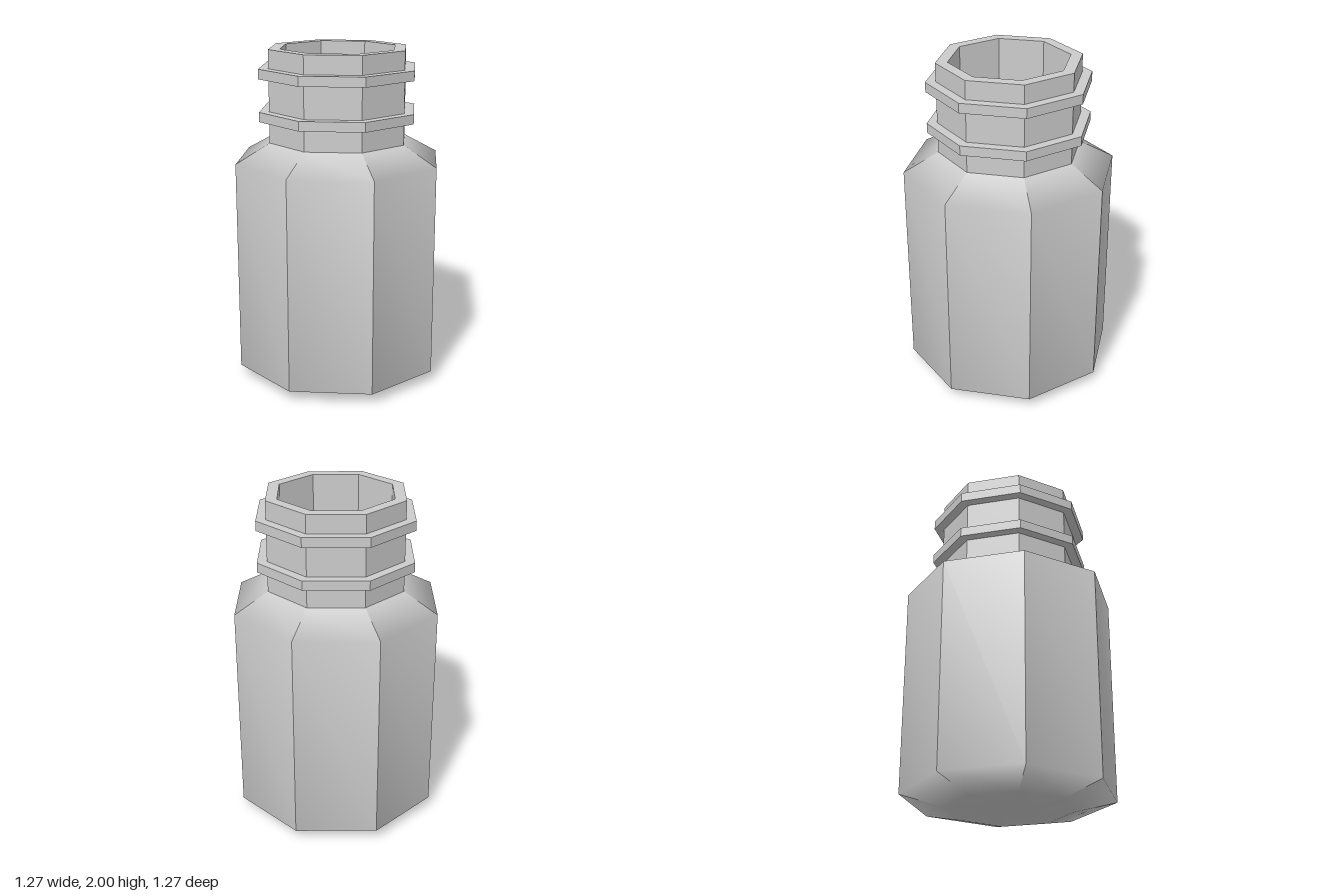
import * as THREE from 'three';
import { mergeGeometries } from 'three/addons/utils/BufferGeometryUtils.js';

const SIDES = 8;

// Eight separate panels: hard edges between sides, smooth along the profile.
function panelLathe(profile) {
  const points = profile.map(([r, y]) => new THREE.Vector2(r, y));
  const step = (Math.PI * 2) / SIDES;
  const panels = [];
  for (let i = 0; i < SIDES; i++) {
    const panel = new THREE.LatheGeometry(points, 1, i * step, step);
    panel.computeVertexNormals();
    panels.push(panel);
  }
  return mergeGeometries(panels);
}

function part(name, profile, flatShading) {
  const material = new THREE.MeshStandardMaterial({ color: 0xcccccc, flatShading });
  const mesh = new THREE.Mesh(panelLathe(profile), material);
  mesh.name = name;
  return mesh;
}

export function createModel() {
  const group = new THREE.Group();
  group.name = 'bottle';

  // Base, walls and sloping shoulder
  group.add(part('body', [
    [0, 0], [0.37, 0], [0.633, 0.068], [0.633, 1.34], [0.425, 1.455],
  ], false));

  // Neck with two square collars, ending in the flat lip
  const neckR = 0.425, collarR = 0.485, boreR = 0.355;
  const neck = [[neckR, 1.455]];
  for (const [low, high] of [[1.583, 1.64], [1.832, 1.89]]) {
    neck.push([neckR, low], [collarR, low], [collarR, high], [neckR, high]);
  }
  neck.push([neckR, 2], [boreR, 2]);
  group.add(part('neck', neck, true));

  // Hollow inside, following the outer wall
  group.add(part('interior', [
    [boreR, 2], [boreR, 1.415], [0.563, 1.3], [0.563, 0.12], [0.35, 0.07], [0, 0.07],
  ], true));

  return group;
}
